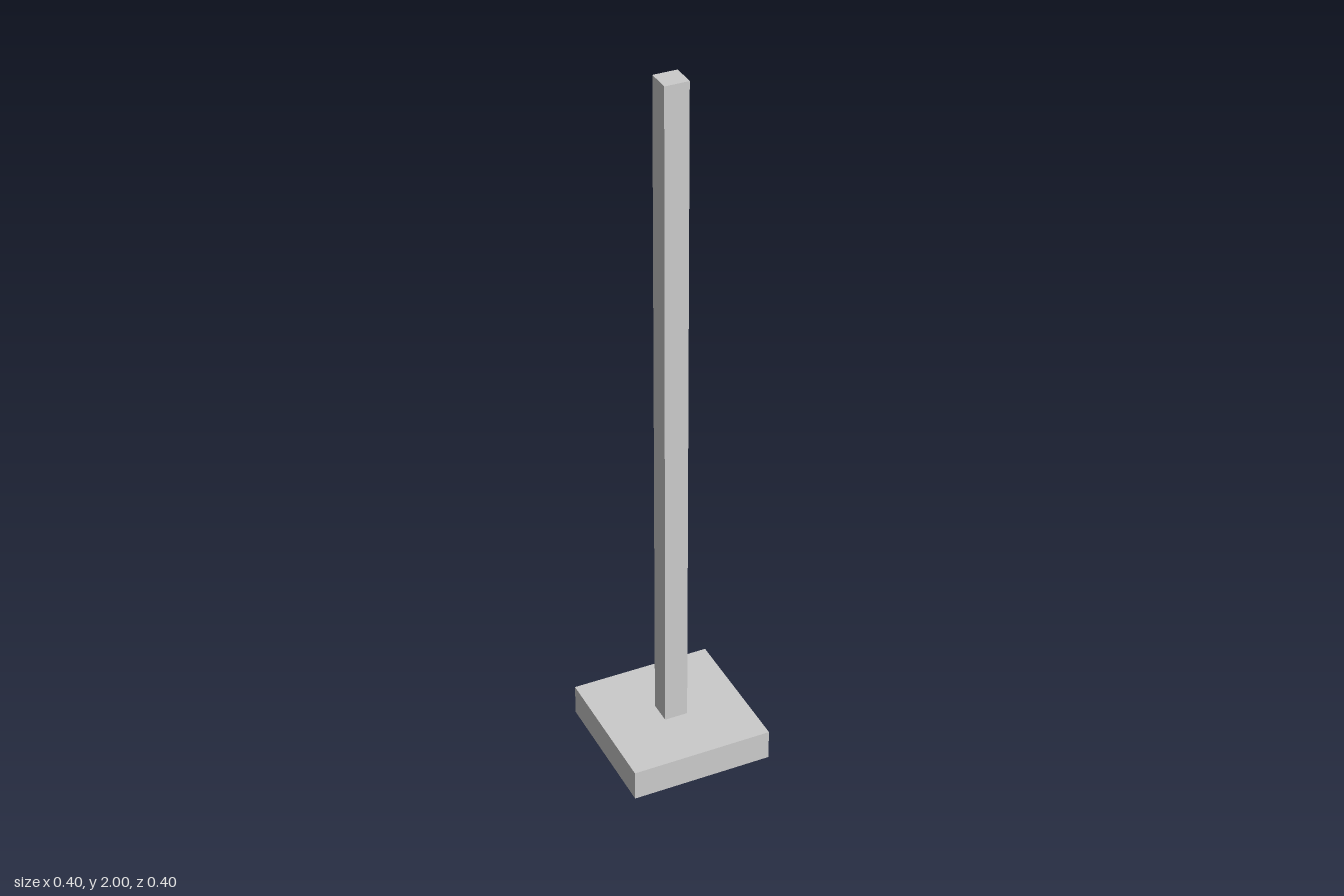
import * as THREE from 'three';

const material = new THREE.MeshStandardMaterial({ color: 0xcccccc });

// Square block standing on height y
function block(name, width, height, y) {
  const mesh = new THREE.Mesh(new THREE.BoxGeometry(width, height, width), material);
  mesh.name = name;
  mesh.position.y = y + height / 2;
  return mesh;
}

export function createModel() {
  const model = new THREE.Group();
  model.name = 'postOnBase';

  const baseHeight = 0.088;
  model.add(block('base', 0.397, baseHeight, 0)); // square foot slab
  model.add(block('post', 0.066, 2 - baseHeight, baseHeight)); // slim upright
  return model;
}
